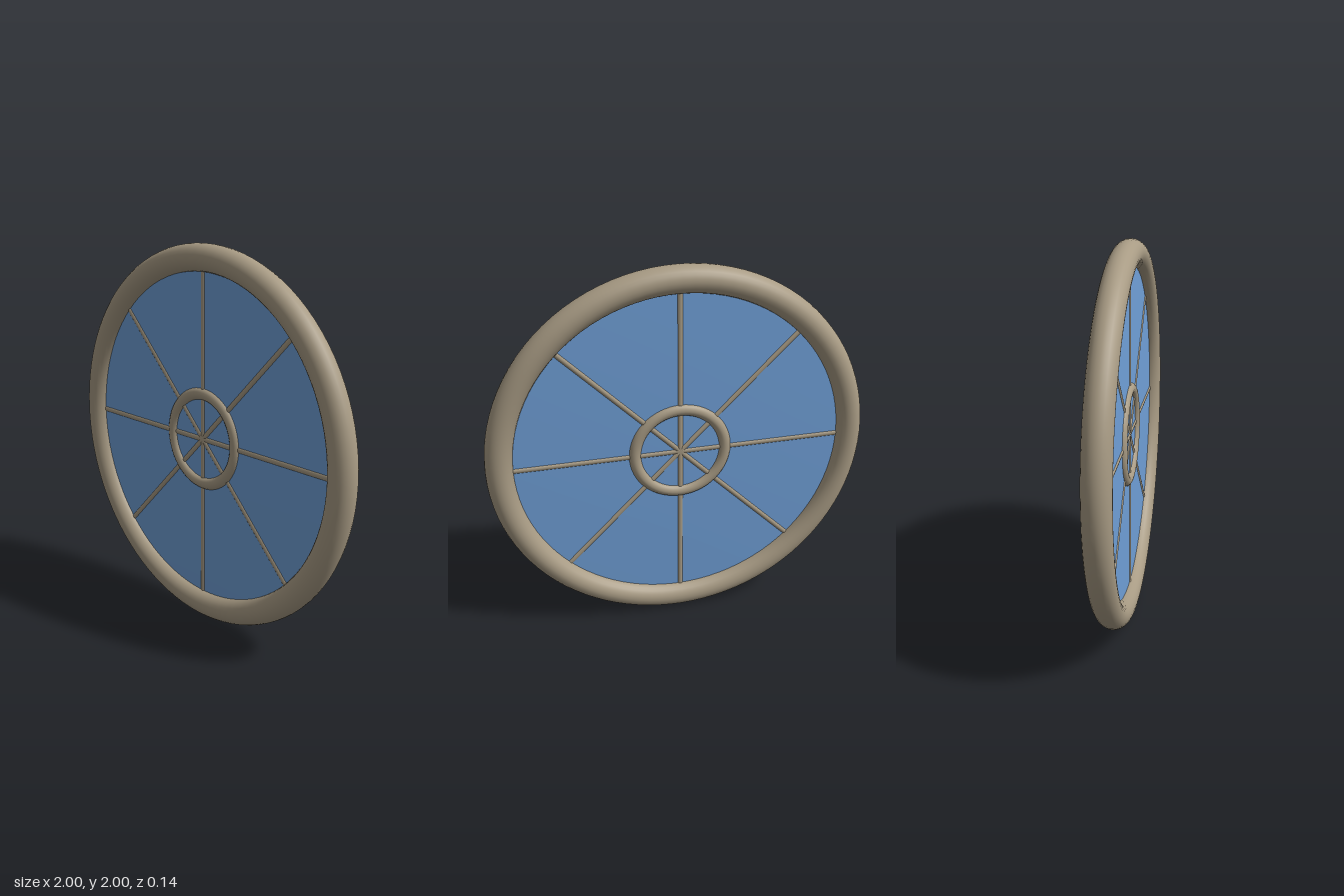
import * as THREE from 'three';

export function createModel() {
  const frameMat = new THREE.MeshStandardMaterial({ color: 0xa89b84 });
  frameMat.name = 'beige frame';
  const glassMat = new THREE.MeshStandardMaterial({ color: 0x70a0d8 });
  glassMat.name = 'blue glass';

  const model = new THREE.Group();
  model.name = 'roundWindow';
  const add = (name, geometry, material) => {
    const mesh = new THREE.Mesh(geometry, material);
    mesh.name = name;
    mesh.position.y = 1;
    model.add(mesh);
    return mesh;
  };

  // Round frame and small central ring
  add('outerFrame', new THREE.TorusGeometry(0.93, 0.07, 24, 96), frameMat);
  add('innerRing', new THREE.TorusGeometry(0.24, 0.033, 16, 64), frameMat);

  // Thin pane, smoothly shaded from its centre to its rim
  const half = 0.012, radius = 0.92;
  const profile = [[0, -half], [radius, -half], [radius, half], [0, half]]
    .map(([x, y]) => new THREE.Vector2(x, y));
  const pane = new THREE.LatheGeometry(profile, 96).rotateX(Math.PI / 2);
  add('glassPane', pane, glassMat);

  // Four full-width bars make eight spokes
  for (let i = 0; i < 4; i++) {
    const bar = new THREE.CylinderGeometry(0.018, 0.018, 1.84, 16);
    add('spokeBar', bar, frameMat).rotation.z = (i * Math.PI) / 4;
  }
  return model;
}
